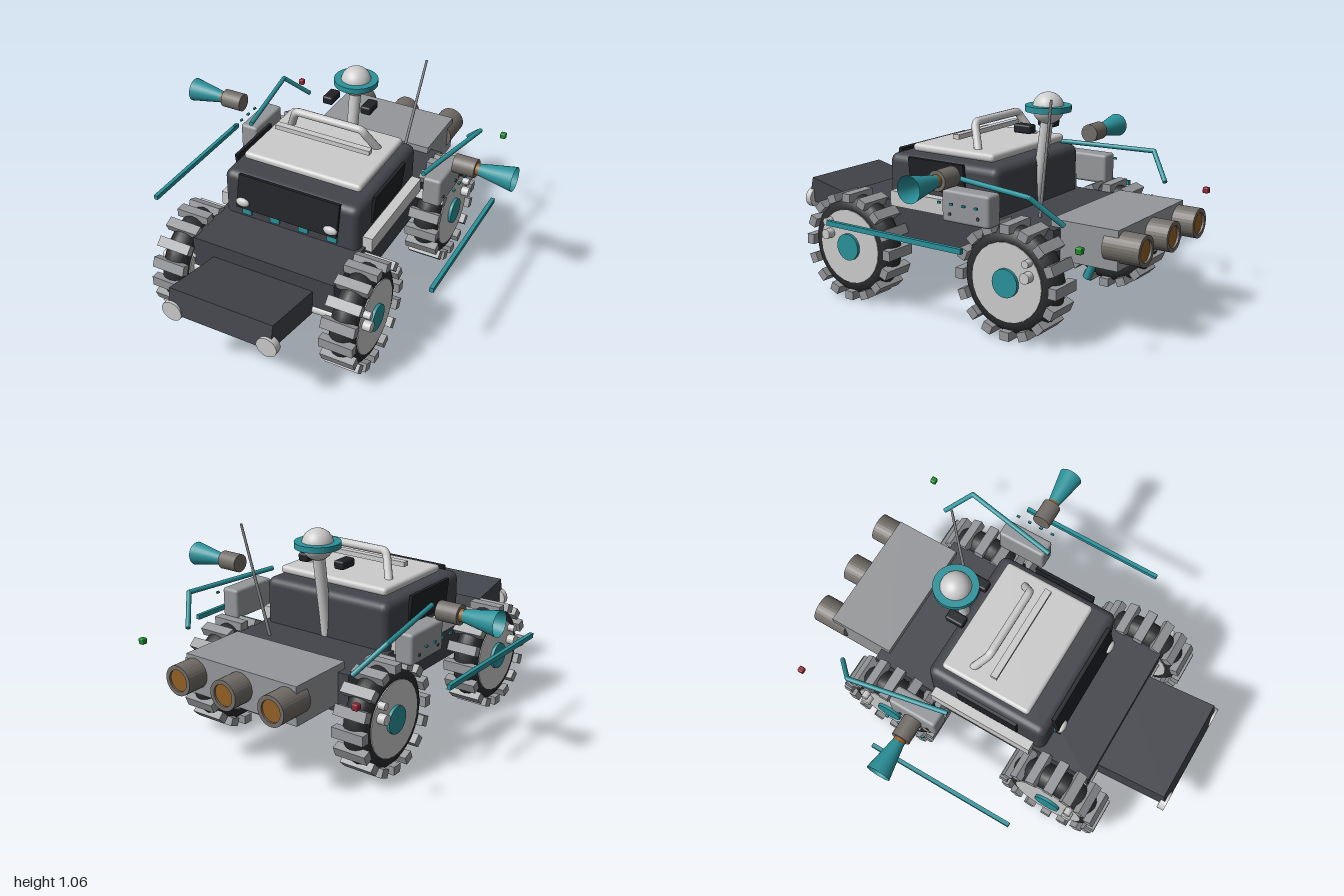
import * as THREE from 'three';
import { RoundedBoxGeometry } from 'three/addons/geometries/RoundedBoxGeometry.js';

const mat = (color, side = THREE.FrontSide) => new THREE.MeshStandardMaterial({ color, side });
const light = mat(0xcccccc), mid = mat(0x95979a), dark = mat(0x42444b), glass = mat(0x202226);
const rubber = mat(0x2b2c2e), teal = mat(0x2a929b), tealOpen = mat(0x2a929b, THREE.DoubleSide);
const metal = mat(0x716c67), metalOpen = mat(0x716c67, THREE.DoubleSide), copper = mat(0x935f24);

export function createModel() {
  const model = new THREE.Group();

  const add = (name, geometry, material, [x, y, z] = [0, 0, 0], parent = model) => {
    const mesh = new THREE.Mesh(geometry, material);
    mesh.name = name;
    mesh.position.set(x, y, z);
    parent.add(mesh);
    return mesh;
  };
  const box = (name, size, pos, material, parent) =>
    add(name, new THREE.BoxGeometry(...size), material, pos, parent);
  const rounded = (name, size, r, pos, material, parent) =>
    add(name, new RoundedBoxGeometry(...size, 3, r), material, pos, parent);
  // Cylinder running from point a (radius ra) to point b (radius rb)
  const rod = (name, a, b, ra, rb, material, parent, open = false) => {
    const start = new THREE.Vector3(...a), end = new THREE.Vector3(...b);
    const dir = end.clone().sub(start);
    const mesh = add(name, new THREE.CylinderGeometry(rb, ra, dir.length(), 24, 1, open), material,
      start.clone().add(end).multiplyScalar(0.5).toArray(), parent);
    mesh.quaternion.setFromUnitVectors(new THREE.Vector3(0, 1, 0), dir.normalize());
    return mesh;
  };

  // Chassis, tilted nose and rear engine block
  box('chassis', [0.75, 0.19, 1.22], [0, 0.405, 0.01], dark);
  box('nose', [0.53, 0.125, 0.5], [0, 0.387, 0.742], dark).rotation.x = -0.22;
  box('engineBlock', [0.635, 0.185, 0.34], [0, 0.4425, -0.72], mid);

  // Rear thrusters: open nozzle with a glowing core
  for (const x of [-0.268, 0, 0.268]) {
    const nozzle = [[0, 0], [0.072, 0], [0.072, 0.18], [0.052, 0.18], [0.052, 0.165]]
      .map(p => new THREE.Vector2(...p));
    const flat = new THREE.LatheGeometry(nozzle, 32).toNonIndexed();
    flat.computeVertexNormals();
    add('thruster', flat, metalOpen, [x, 0.45, -0.82]).rotation.x = -Math.PI / 2;
    rod('thrusterCore', [x, 0.45, -0.95], [x, 0.45, -0.99], 0.053, 0.053, copper);
  }

  // Cabin with windscreen and roof
  rounded('cabin', [0.72, 0.27, 0.645], 0.04, [0, 0.595, 0.035], dark);
  box('windscreen', [0.535, 0.17, 0.02], [0, 0.655, 0.373], glass).rotation.x = -0.2;
  rounded('roofPlate', [0.625, 0.04, 0.475], 0.018, [0, 0.762, 0.008], light);
  box('roofBar', [0.51, 0.024, 0.034], [0, 0.828, 0.025], light);
  for (const x of [-0.23, -0.077, 0.077, 0.23])
    box('frontLight', [0.05, 0.032, 0.02], [x, 0.535, 0.36], teal);

  // Roof handle
  const hoop = new THREE.CurvePath();
  const hp = [[-0.24, 0.77, -0.095], [-0.19, 0.872, -0.042], [-0.16, 0.895, -0.035],
    [0.16, 0.895, -0.035], [0.19, 0.872, -0.042], [0.24, 0.77, -0.095]].map(p => new THREE.Vector3(...p));
  hoop.add(new THREE.LineCurve3(hp[0], hp[1]));
  hoop.add(new THREE.QuadraticBezierCurve3(hp[1], new THREE.Vector3(-0.18, 0.895, -0.035), hp[2]));
  hoop.add(new THREE.LineCurve3(hp[2], hp[3]));
  hoop.add(new THREE.QuadraticBezierCurve3(hp[3], new THREE.Vector3(0.18, 0.895, -0.035), hp[4]));
  hoop.add(new THREE.LineCurve3(hp[4], hp[5]));
  add('roofHandle', new THREE.TubeGeometry(hoop, 64, 0.02, 12), light);

  // Sensor mast with a ringed dome
  rod('mast', [0, 0.5, -0.265], [0, 0.93, -0.325], 0.027, 0.03, light);
  add('sensorDome', new THREE.SphereGeometry(0.076, 32, 20), light, [0, 0.967, -0.328]);
  const ring = new THREE.Shape().absarc(0, 0, 0.11, 0, Math.PI * 2);
  ring.holes.push(new THREE.Path().absarc(0, 0, 0.074, 0, Math.PI * 2, true));
  add('sensorRing', new THREE.ExtrudeGeometry(ring, { depth: 0.028, bevelEnabled: false, curveSegments: 24 }),
    teal, [0, 0.953, -0.328]).rotation.x = -Math.PI / 2;
  rod('antenna', [0.22, 0.5, -0.43], [0.29, 1.06, -0.525], 0.008, 0.006, mid);

  // Parts that repeat on both sides
  for (const s of [-1, 1]) {
    const side = new THREE.Group();
    side.name = s > 0 ? 'leftSide' : 'rightSide';
    model.add(side);

    rod('headlight', [s * 0.245, 0.39, 0.965], [s * 0.245, 0.39, 1], 0.051, 0.051, light, side);
    add('cabinLamp', new THREE.SphereGeometry(1, 20, 12), light, [s * 0.235, 0.605, 0.393], side)
      .scale.set(0.036, 0.023, 0.018);
    box('sideWindow', [0.016, 0.15, 0.325], [s * 0.366, 0.655, 0.055], glass, side).rotation.z = -s * 0.1;
    box('sill', [0.055, 0.075, 0.555], [s * 0.382, 0.52, 0.03], light, side);
    rounded('camera', [0.055, 0.042, 0.095], 0.01, [s * 0.105, 0.878, -0.265], glass, side);
    box('sideRail', [0.02, 0.024, 0.775], [s * 0.75, 0.46, 0.012], teal, side);

    // Side case with its row of indicators
    rounded('sideCase', [0.095, 0.15, 0.26], 0.015, [s * 0.515, 0.585, -0.253], mid, side);
    for (const z of [-0.155, -0.222, -0.289, -0.356])
      box('indicator', [0.01, 0.01, 0.016], [s * 0.62, 0.615, z], teal, side);
    for (const z of [-0.17, -0.325])
      rod('caseBolt', [s * 0.555, 0.55, z], [s * 0.567, 0.55, z], 0.008, 0.008, dark, side);

    // Bent rail over the side case
    const bend = [s * 0.575, 0.692, -0.6];
    rod('upperRail', [s * 0.48, 0.702, -0.095], bend, 0.012, 0.012, teal, side);
    rod('railEnd', bend, [s * 0.478, 0.565, -0.715], 0.012, 0.012, teal, side);
    add('railJoint', new THREE.SphereGeometry(0.012, 12, 8), teal, bend, side);

    // Side thruster with a flared bell
    const along = x => [s * x, 0.735, -0.21];
    rod('sideThruster', along(0.595), along(0.705), 0.047, 0.047, metal, side);
    rod('thrusterNeck', along(0.705), along(0.722), 0.03, 0.03, copper, side);
    rod('thrusterBell', along(0.718), along(0.895), 0.029, 0.061, tealOpen, side, true);

    // Marker light: green on the left, red on the right
    rounded('markerLight', [0.03, 0.03, 0.03], 0.006, [s * 0.617, 0.52, -0.875],
      mat(s > 0 ? 0x1f8a2c : 0x8f2630), side);

    for (const front of [1, -1]) addWheel(s, front, side);
  }

  function addWheel(s, front, side) {
    const z = front > 0 ? 0.485 : -0.447, armZ = z + front * 0.12;
    const wheel = new THREE.Group();
    wheel.name = front > 0 ? 'frontWheel' : 'rearWheel';
    wheel.position.set(s * 0.45, 0.27, z);
    side.add(wheel);

    add('tyre', new THREE.TorusGeometry(0.188, 0.066, 16, 48), rubber, [0, 0, 0], wheel).rotation.y = Math.PI / 2;
    rod('wheelDisc', [-0.07, 0, 0], [0.07, 0, 0], 0.185, 0.185, light, wheel);
    rod('hubCap', [-0.085, 0, 0], [0.085, 0, 0], 0.067, 0.067, teal, wheel);
    const lugs = 16;
    for (let i = 0; i < lugs; i++) {
      const a = (i / lugs) * Math.PI * 2;
      box('tread', [0.17, 0.042, 0.05], [0, Math.cos(a) * 0.248, Math.sin(a) * 0.248], mid, wheel).rotation.x = a;
    }

    // Suspension arm, bolt and strut
    rod('suspensionArm', [s * 0.25, 0.315, armZ], [s * 0.56, 0.322, armZ], 0.025, 0.025, light, side);
    rod('armBolt', [s * 0.37, 0.385, armZ], [s * 0.555, 0.385, armZ], 0.018, 0.018, light, side);
    rod('strut', [s * 0.372, 0.25, z - front * 0.01], [s * 0.372, 0.025, z - front * 0.1], 0.014, 0.024, teal, side);
  }

  return model;
}
